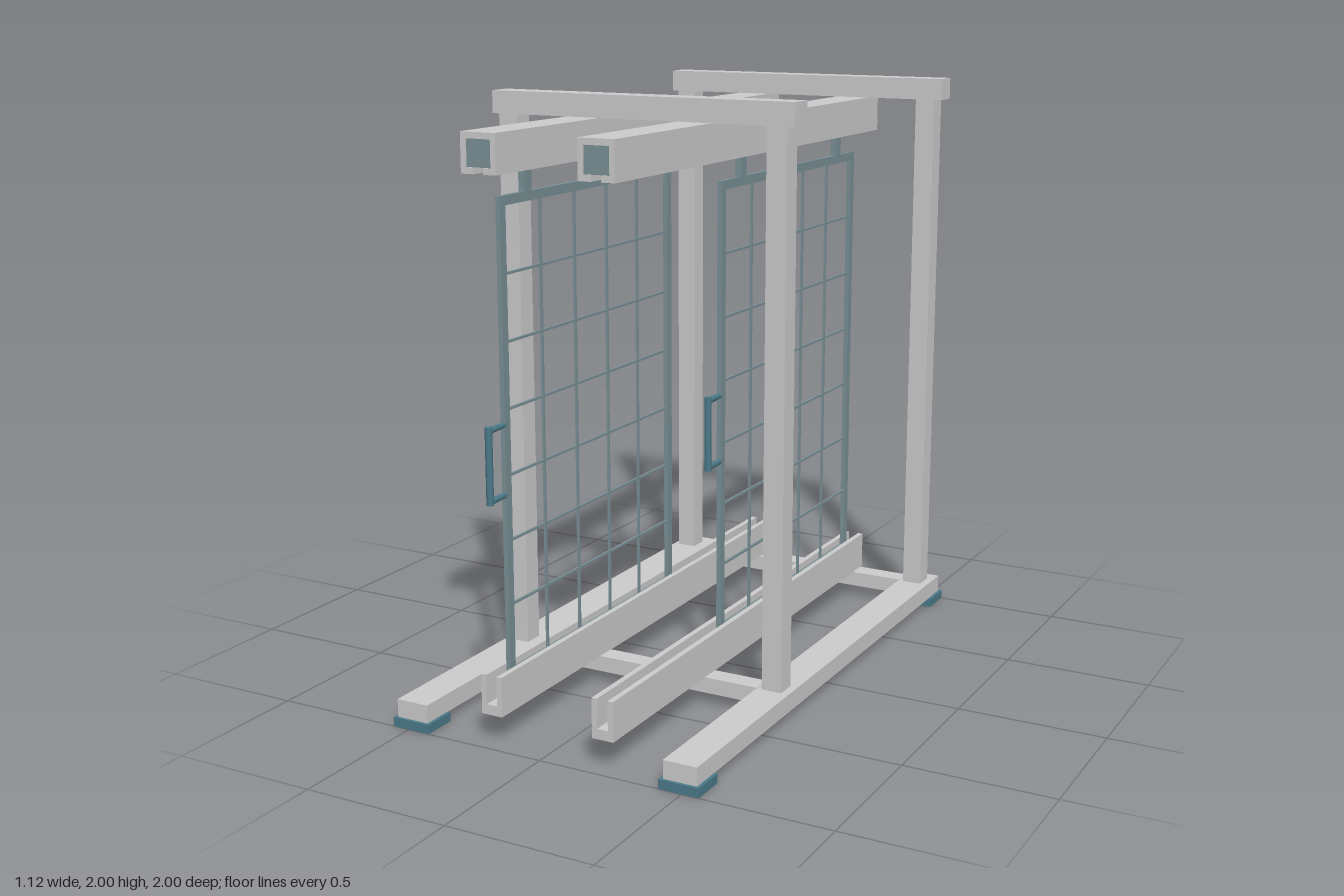
import * as THREE from 'three';

const grey = new THREE.MeshStandardMaterial({ color: 0xcccccc });
const frameMat = new THREE.MeshStandardMaterial({ color: 0x7a9095 });
const tealMat = new THREE.MeshStandardMaterial({ color: 0x4c7a8a });

function add(parent, name, geometry, material, x, y, z) {
  const mesh = new THREE.Mesh(geometry, material);
  mesh.name = name;
  mesh.position.set(x, y, z);
  parent.add(mesh);
  return mesh;
}

// Box given by its extents along each axis
function box(parent, name, mat, [x0, x1], [y0, y1], [z0, z1]) {
  return add(parent, name, new THREE.BoxGeometry(x1 - x0, y1 - y0, z1 - z0), mat,
    (x0 + x1) / 2, (y0 + y1) / 2, (z0 + z1) / 2);
}

// Cross-section in x/y, swept along z
function channel(parent, name, points, x, z0, z1) {
  const shape = new THREE.Shape(points.map(p => new THREE.Vector2(...p)));
  const geo = new THREE.ExtrudeGeometry(shape, { depth: z1 - z0, bevelEnabled: false });
  return add(parent, name, geo, grey, x, 0, z0);
}

// Tubular pull handle, its arms reaching towards +z
function makeHandle(y0, y1, reach) {
  const handle = new THREE.Group();
  handle.name = 'handle';
  const r = 0.012;
  add(handle, 'grip', new THREE.CylinderGeometry(r, r, y1 - y0 + 2 * r, 8), tealMat, 0, (y0 + y1) / 2, reach);
  for (const y of [y0, y1]) {
    const arm = add(handle, 'handleArm', new THREE.CylinderGeometry(r, 0.009, reach + 0.01, 8), tealMat, 0, y, reach / 2 - 0.005);
    arm.rotation.x = Math.PI / 2;
  }
  return handle;
}

// Sliding mesh panel with frame, wires, hangers and handle
function makePanel(name, x, zc) {
  const panel = new THREE.Group();
  panel.name = name;
  panel.position.set(x, 0, zc);
  const half = 0.532, bar = 0.03, t = 0.008, w = 0.004;
  const y0 = 0.18, y1 = 1.725;
  for (const s of [-1, 1]) {
    const z = s * (half - bar / 2);
    box(panel, 'frameUpright', frameMat, [-t, t], [y0, y1], [z - bar / 2, z + bar / 2]);
  }
  box(panel, 'frameTop', frameMat, [-t, t], [y1 - bar, y1], [-half + bar, half - bar]);
  box(panel, 'frameBottom', frameMat, [-t, t], [y0, y0 + bar], [-half + bar, half - bar]);
  for (let i = 1; i <= 4; i++) {
    const z = -0.502 + i * 0.2008;
    box(panel, 'verticalWire', frameMat, [-w, w], [y0 + bar, y1 - bar], [z - w, z + w]);
  }
  for (let i = 0; i < 6; i++) {
    const y = 0.425 + i * 0.212;
    box(panel, 'horizontalWire', frameMat, [-w, w], [y - w, y + w], [-half + bar, half - bar]);
  }
  for (const z of [-0.381, 0.381]) {
    box(panel, 'hanger', frameMat, [-0.011, 0.011], [y1 - 0.005, 1.84], [z - 0.02, z + 0.02]);
    box(panel, 'trolley', frameMat, [-0.035, 0.035], [1.83, 1.89], [z - 0.05, z + 0.05]);
  }
  const handle = makeHandle(0.79, 1.015, 0.078);
  handle.position.z = half;
  panel.add(handle);
  return panel;
}

export function createModel() {
  const model = new THREE.Group();
  model.name = 'slidingPanelRack';
  const trackX = 0.203, zBack = -0.957, zFront = 0.957;

  // Base rails, feet and posts
  for (const s of [-1, 1]) {
    const side = new THREE.Group();
    side.name = s > 0 ? 'leftSide' : 'rightSide';
    side.position.x = s * 0.49;
    model.add(side);
    box(side, 'baseRail', grey, [-0.058, 0.058], [0.03, 0.092], [-0.99, 0.99]);
    for (const z of [-0.94, 0.94])
      box(side, 'foot', tealMat, [-0.069, 0.069], [0, 0.031], [z - 0.06, z + 0.06]);
    for (const z of [-0.903, 0.325])
      box(side, 'post', grey, [-0.039, 0.031], [0.09, 1.93], [z - 0.036, z + 0.036]);
  }

  // Cross members joining the two sides
  for (const z of [-0.905, 0.325]) {
    box(model, 'topBeam', grey, [-0.55, 0.55], [1.925, 2], [z - 0.043, z + 0.043]);
    box(model, 'lowerCrossbar', grey, [-0.435, 0.435], [0.04, 0.094], [z - 0.036, z + 0.036]);
  }

  // Upper tracks with a slot below, lower guides open above
  const upper = [[-0.062, 1.8], [-0.017, 1.8], [-0.017, 1.82], [-0.044, 1.82], [-0.044, 1.905],
    [0.044, 1.905], [0.044, 1.82], [0.017, 1.82], [0.017, 1.8], [0.062, 1.8], [0.062, 1.925], [-0.062, 1.925]];
  const lower = [[-0.038, 0.093], [0.038, 0.093], [0.038, 0.225], [0.019, 0.225], [0.019, 0.127],
    [-0.019, 0.127], [-0.019, 0.225], [-0.038, 0.225]];
  for (const s of [-1, 1]) {
    const x = s * trackX;
    channel(model, 'upperTrack', upper, x, zBack, zFront);
    channel(model, 'lowerGuide', lower, x, zBack, zFront);
    for (const z of [zBack + 0.02, zFront - 0.02])
      box(model, 'trackEndStop', frameMat, [x - 0.044, x + 0.044], [1.82, 1.905], [z - 0.015, z + 0.015]);
  }

  // Panels, one slid forward and one slid back
  model.add(makePanel('frontPanel', -trackX, 0.328));
  model.add(makePanel('rearPanel', trackX, -0.339));
  return model;
}
